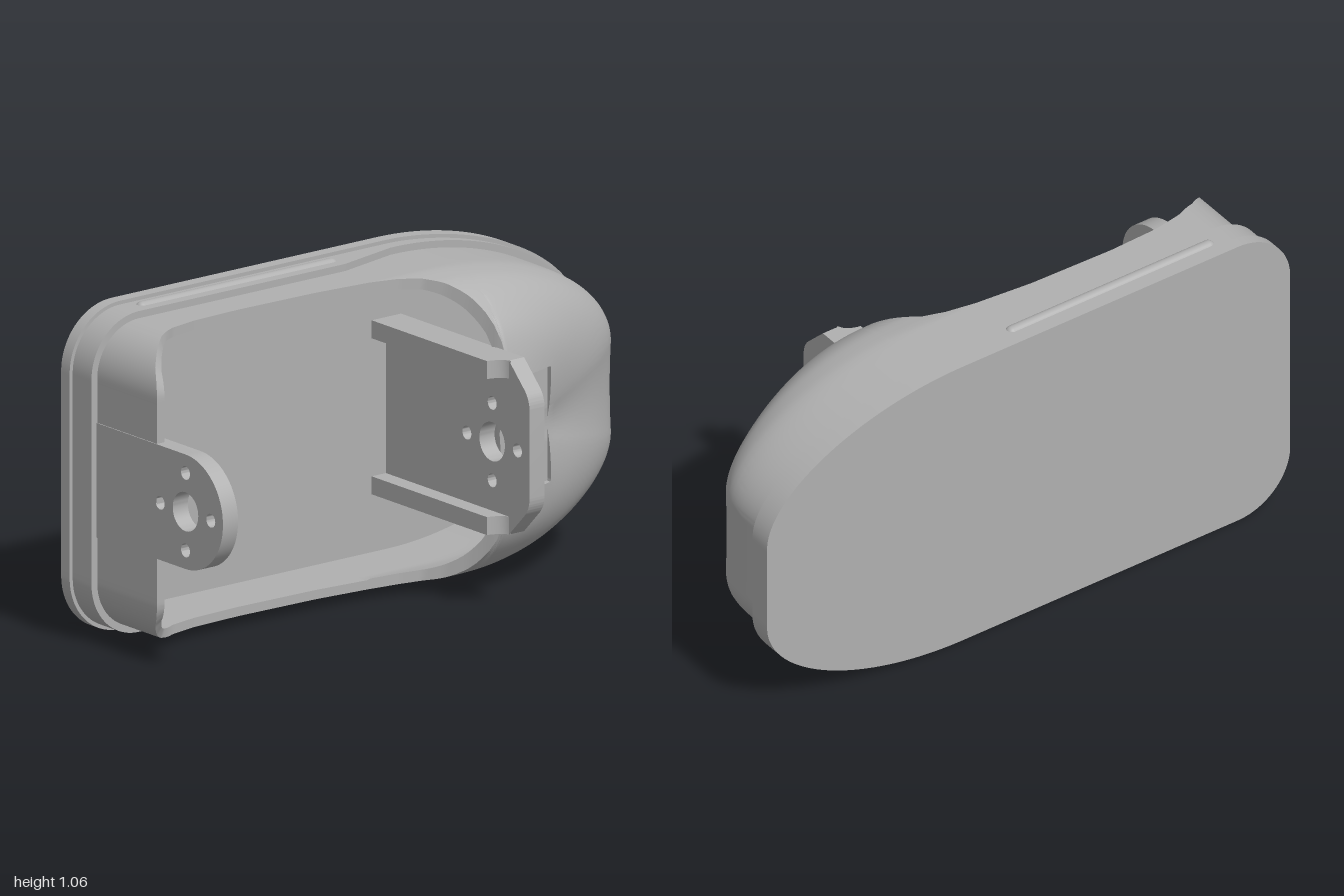
import * as THREE from 'three';
import { toCreasedNormals } from 'three/addons/utils/BufferGeometryUtils.js';

const MID = 0.53; // height of the symmetry plane

// piecewise linear lookup through [x, value] points
function lookup(pts, x) {
  if (x <= pts[0][0]) return pts[0][1];
  for (let i = 1; i < pts.length; i++) {
    const [a, va] = pts[i - 1], [b, vb] = pts[i];
    if (x <= b) return va + (vb - va) * (x - a) / (b - a);
  }
  return pts[pts.length - 1][1];
}

// base outline: rounded corners at one end, a long curved nose at the other
function baseOutline() {
  const s = new THREE.Shape();
  s.moveTo(-0.8, 0);
  s.lineTo(0.25, 0);
  s.bezierCurveTo(0.65, 0, 1, 0.18, 1, 0.38);
  s.lineTo(1, 0.68);
  s.bezierCurveTo(1, 0.88, 0.65, 1.06, 0.25, 1.06);
  s.lineTo(-0.8, 1.06);
  s.absarc(-0.8, 0.86, 0.2, Math.PI / 2, Math.PI, false);
  s.lineTo(-1, 0.2);
  s.absarc(-0.8, 0.2, 0.2, Math.PI, Math.PI * 1.5, false);
  const p = s.getSpacedPoints(480);
  p.pop();
  return p;
}

// move a counter-clockwise loop inwards
function inset(loop, d) {
  const n = loop.length;
  return loop.map((p, i) => {
    const t = loop[(i + 1) % n].clone().sub(loop[(i + n - 1) % n]).normalize();
    return new THREE.Vector2(p.x - t.y * d, p.y + t.x * d);
  });
}

// closed surface strips through rings of [x, y, z]
function loft(rings) {
  const n = rings[0].length, index = [];
  const pos = rings.flat();
  const same = (a, b) => Math.hypot(pos[a][0] - pos[b][0], pos[a][1] - pos[b][1], pos[a][2] - pos[b][2]) < 1e-6;
  const tri = (a, b, c) => { if (!same(a, b) && !same(b, c) && !same(a, c)) index.push(a, b, c); };
  for (let r = 0; r < rings.length - 1; r++) {
    for (let i = 0; i < n; i++) {
      const j = (i + 1) % n, a = r * n + i, b = r * n + j, c = a + n, d = b + n;
      tri(a, b, d);
      tri(a, d, c);
    }
  }
  const g = new THREE.BufferGeometry();
  g.setAttribute('position', new THREE.Float32BufferAttribute(pos.flat(), 3));
  g.setIndex(index);
  return toCreasedNormals(g, 0.6);
}

// height of the open side walls along x
const CUT = [[-0.965, 0.05], [-0.94, 0.01], [-0.9, -0.03], [-0.85, -0.07], [-0.78, -0.1], [-0.68, -0.118],
  [-0.5, -0.125], [-0.2, -0.118], [0, -0.1], [0.1, -0.08], [0.17, -0.05], [0.22, 0], [0.265, 0.06],
  [0.295, 0.11], [0.32, 0.165], [0.33, 0.195]];
// dome profiles [scale towards centre, z]: across and along
const ACROSS = [[1, -0.32], [1, -0.2], [1, -0.1], [0.985, -0.05], [0.96, 0], [0.89, 0.06], [0.8, 0.105],
  [0.7, 0.14], [0.58, 0.165], [0.38, 0.188], [0.2, 0.191], [0, 0.192]];
const ALONG = [[1, -0.32], [1, -0.2], [0.985, -0.12], [0.95, -0.075], [0.9, -0.04], [0.82, -0.005], [0.72, 0.03],
  [0.58, 0.068], [0.44, 0.1], [0.3, 0.132], [0.15, 0.165], [0, 0.192]];
const DOME_X = 0.33, ROWS = 26;

// one column of the shell, from the base up to the rim or the dome's notch
function shellColumn(p, baseX, drop) {
  const out = [];
  if (baseX < 0) {
    const top = lookup(CUT, baseX);
    for (let k = 0; k <= ROWS; k++) out.push([p.x, p.y, -0.33 + (top + 0.33) * k / ROWS]);
    out.push(out[ROWS], out[ROWS]);
    return out;
  }
  const onDome = baseX >= DOME_X;
  const cx = onDome ? DOME_X : p.x;
  const dx = p.x - cx, dy = p.y - MID;
  const a = (dx / 0.635) ** 2, b = (dy / 0.5) ** 2, w = a / (a + b);
  const curve = new THREE.CatmullRomCurve3(ACROSS.map(([s, z], i) => new THREE.Vector3(
    s + (ALONG[i][0] - s) * w, z + (ALONG[i][1] - z) * w - drop, 0))).getPoints(66);
  const stopS = onDome ? Math.min(0.19 / Math.max(dx, 1e-6), 0.187 / Math.max(Math.abs(dy), 1e-6)) : 0.374;
  const stopZ = onDome ? 9 : lookup(CUT, baseX);
  let end = 66;
  for (let i = 1; i <= 66; i++) {
    const u = curve[i - 1], v = curve[i];
    if (v.x <= stopS || v.y >= stopZ) {
      const fs = v.x <= stopS ? (u.x - stopS) / (u.x - v.x) : 1;
      const fz = v.y >= stopZ ? (stopZ - u.y) / (v.y - u.y) : 1;
      end = i - 1 + Math.max(0, Math.min(fs, fz, 1));
      break;
    }
  }
  for (let k = 0; k <= ROWS; k++) {
    const f = end * k / ROWS, i = Math.min(65, Math.floor(f));
    const q = curve[i].clone().lerp(curve[i + 1], f - i), s = Math.min(q.x, 1);
    out.push([cx + dx * s, MID + dy * s, q.y]);
  }
  // notch wall and floor
  const e = out[ROWS], floorZ = 0.132 - drop;
  if (onDome) out.push([e[0], e[1], Math.min(e[2], floorZ)], [DOME_X, MID, floorZ]);
  else out.push(e, e);
  return out;
}

function shellGeometry(base) {
  const outer = inset(base, 0.035), inner = inset(base, 0.065);
  const o = outer.map((p) => shellColumn(p, p.x, 0));
  const i = inner.map((p, k) => shellColumn(p, outer[k].x, outer[k].x < 0 ? 0 : 0.03));
  const rings = [];
  for (let r = 0; r < ROWS + 3; r++) rings.push(o.map((c) => c[r]));
  for (let r = ROWS + 2; r >= 0; r--) rings.push(i.map((c) => c[r]));
  return loft(rings);
}

// arm outline in (z, y) with a hub hole and four screw holes, extruded along x
function armGeometry(shape, x0, x1) {
  const hole = (z, y, r) => shape.holes.push(new THREE.Path().absarc(z, y, r, 0, Math.PI * 2, true));
  hole(0.195, 0.533, 0.063);
  for (const [z, y] of [[0.125, 0], [-0.125, 0], [0, 0.125], [0, -0.125]]) hole(0.195 + z, 0.533 + y, 0.022);
  const g = new THREE.ExtrudeGeometry(shape, { depth: x1 - x0, bevelEnabled: false, curveSegments: 24 });
  g.rotateY(-Math.PI / 2);
  g.translate(x1, 0, 0);
  return toCreasedNormals(g, 0.6);
}

export function createModel() {
  const group = new THREE.Group();
  const grey = new THREE.MeshStandardMaterial({ color: 0xb0b0b0, side: THREE.DoubleSide });
  grey.name = 'plain grey';
  const add = (name, geometry) => {
    const m = new THREE.Mesh(geometry, grey);
    m.name = name;
    group.add(m);
    return m;
  };
  const base = baseOutline();

  // back plate lip and stepped band around it
  const lip = (x) => lookup([[0.3, -0.338], [1, -0.303]], x);
  const band = (x) => lookup([[0.02, -0.245], [0.24, -0.295]], x);
  const ring = (d, z) => inset(base, d).map((p, i) => [p.x, p.y, z(base[i].x)]);
  add('rimBand', loft([ring(0, () => -0.38), ring(0, lip), ring(0.012, lip),
    ring(0.012, band), ring(0.04, band)]));

  // closed back and pocket floor
  const back = new THREE.ShapeGeometry(new THREE.Shape(base));
  back.rotateY(Math.PI).scale(-1, 1, 1);
  const backIndex = back.index.array;
  for (let i = 0; i < backIndex.length; i += 3) [backIndex[i], backIndex[i + 1]] = [backIndex[i + 1], backIndex[i]];
  back.computeVertexNormals();
  back.translate(0, 0, -0.38);
  // keep the back facing away from the pocket
  if (back.attributes.normal.getZ(0) > 0) {
    for (let i = 0; i < backIndex.length; i += 3) [backIndex[i], backIndex[i + 1]] = [backIndex[i + 1], backIndex[i]];
    back.computeVertexNormals();
  }
  add('backPlate', back);
  add('pocketFloor', new THREE.ShapeGeometry(new THREE.Shape(inset(base, 0.05))).translate(0, 0, -0.33));

  // side walls running into the dome
  add('domeShell', shellGeometry(base));

  // raised grip ridges on both long edges
  for (const [name, y] of [['topRidge', 1.035], ['bottomRidge', 0.025]]) {
    add(name, new THREE.CapsuleGeometry(0.022, 0.75, 8, 20).rotateZ(Math.PI / 2).translate(-0.37, y, -0.298));
  }

  // arm at the square end, with a round tip
  const round = new THREE.Shape();
  round.moveTo(-0.33, 0.348);
  round.lineTo(0.195, 0.348);
  round.absarc(0.195, 0.533, 0.185, -Math.PI / 2, Math.PI / 2, false);
  round.lineTo(-0.33, 0.718);
  add('roundArm', armGeometry(round, -0.968, -0.908));

  // arm beside the dome, with a chamfered tip
  const wide = new THREE.Shape();
  wide.moveTo(-0.33, 0.252);
  wide.lineTo(0.278, 0.252);
  wide.lineTo(0.355, 0.33);
  wide.quadraticCurveTo(0.38, 0.357, 0.38, 0.395);
  wide.lineTo(0.38, 0.671);
  wide.quadraticCurveTo(0.38, 0.709, 0.355, 0.736);
  wide.lineTo(0.278, 0.814);
  wide.lineTo(-0.33, 0.814);
  add('chamferedArm', armGeometry(wide, 0.25, 0.31));

  // stiffening flanges on that arm
  const flange = new THREE.Shape();
  flange.moveTo(0.193, 0.33);
  flange.lineTo(0.193, -0.24);
  flange.quadraticCurveTo(0.245, -0.25, 0.252, -0.285);
  flange.lineTo(0.252, 0.33);
  for (const [name, y] of [['lowerFlange', 0.252], ['upperFlange', 0.756]]) {
    const g = new THREE.ExtrudeGeometry(flange, { depth: 0.058, bevelEnabled: false, curveSegments: 10 });
    g.rotateX(-Math.PI / 2);
    add(name, toCreasedNormals(g, 0.6)).position.y = y;
  }
  return group;
}
